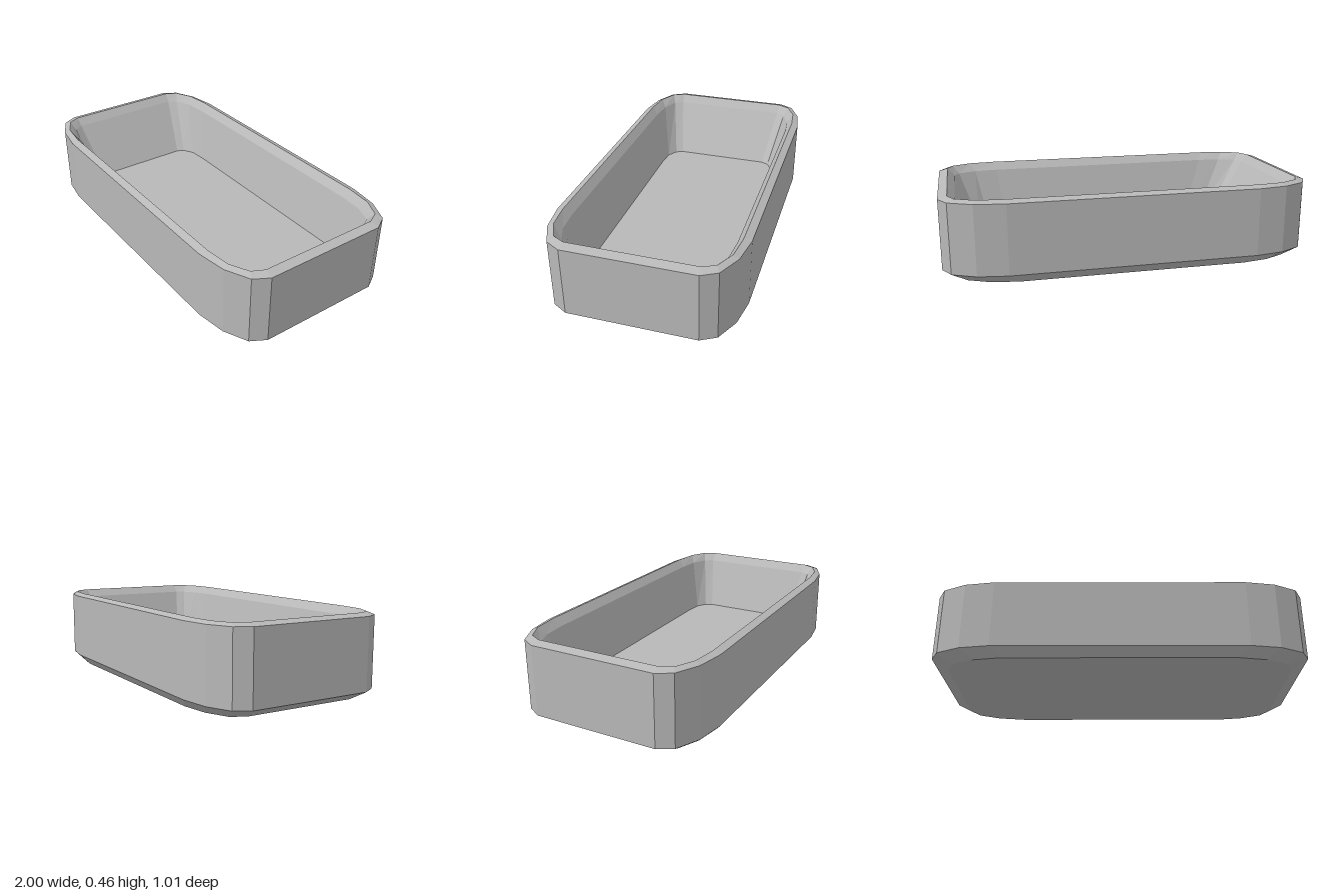
import * as THREE from 'three';

// Full chamfered-rectangle ring from one corner's [x, z] points, mirrored to four.
function ring(y, corner, dx = 0) {
  const points = [];
  [[1, 1], [-1, 1], [-1, -1], [1, -1]].forEach(([sx, sz], q) => {
    const run = q % 2 ? [...corner].reverse() : corner;
    run.forEach(([x, z]) => points.push([sx * x + dx, y, sz * z]));
  });
  return points;
}

// Skin consecutive rings; optional centre points close the first or last ring.
function loft(rings, startCentre, endCentre) {
  const v = [];
  const each = (n, fn) => { for (let i = 0; i < n; i++) fn(i, (i + 1) % n); };
  for (let k = 0; k < rings.length - 1; k++) {
    const a = rings[k], b = rings[k + 1];
    each(a.length, (i, j) => v.push(...a[i], ...b[i], ...a[j], ...b[i], ...b[j], ...a[j]));
  }
  const first = rings[0], last = rings[rings.length - 1];
  if (startCentre) each(first.length, (i, j) => v.push(...startCentre, ...first[i], ...first[j]));
  if (endCentre) each(last.length, (i, j) => v.push(...last[i], ...endCentre, ...last[j]));
  const geometry = new THREE.BufferGeometry();
  geometry.setAttribute('position', new THREE.Float32BufferAttribute(v, 3));
  geometry.computeVertexNormals(); // unshared corners give flat facets
  return geometry;
}

export function createModel() {
  const group = new THREE.Group();
  group.name = 'tub';
  const grey = new THREE.MeshStandardMaterial({ color: 0xb8b8b8, flatShading: true });
  grey.name = 'grey';

  const add = (name, geometry) => {
    const mesh = new THREE.Mesh(geometry, grey);
    mesh.name = name;
    group.add(mesh);
  };

  // Corner profiles, from the short side round to the long side
  const outer = [[1, 0.34], [0.955, 0.42], [0.83, 0.48], [0.67, 0.505]];
  const base = ring(0, [[0.72, 0.24], [0.69, 0.3], [0.6, 0.34], [0.48, 0.36]]);
  const chamfer = ring(0.02, [[0.915, 0.31], [0.875, 0.385], [0.76, 0.44], [0.61, 0.465]]);
  const wallBottom = ring(0.07, outer);
  const wallTop = ring(0.445, outer);
  const rimPeak = ring(0.459, [[0.952, 0.335], [0.92, 0.4], [0.82, 0.45], [0.68, 0.466]]);
  const rimInner = ring(0.415, [[0.915, 0.33], [0.887, 0.38], [0.79, 0.42], [0.66, 0.432]]);
  // The basin floor sits slightly off centre
  const floor = ring(0.125, [[0.77, 0.28], [0.75, 0.32], [0.69, 0.355], [0.59, 0.363]], 0.035);

  add('underside', loft([base, chamfer, wallBottom], [0, 0, 0]));
  add('outerWall', loft([wallBottom, wallTop]));
  add('rim', loft([wallTop, rimPeak, rimInner]));
  add('basin', loft([rimInner, floor], null, [0.035, 0.125, 0]));
  return group;
}
